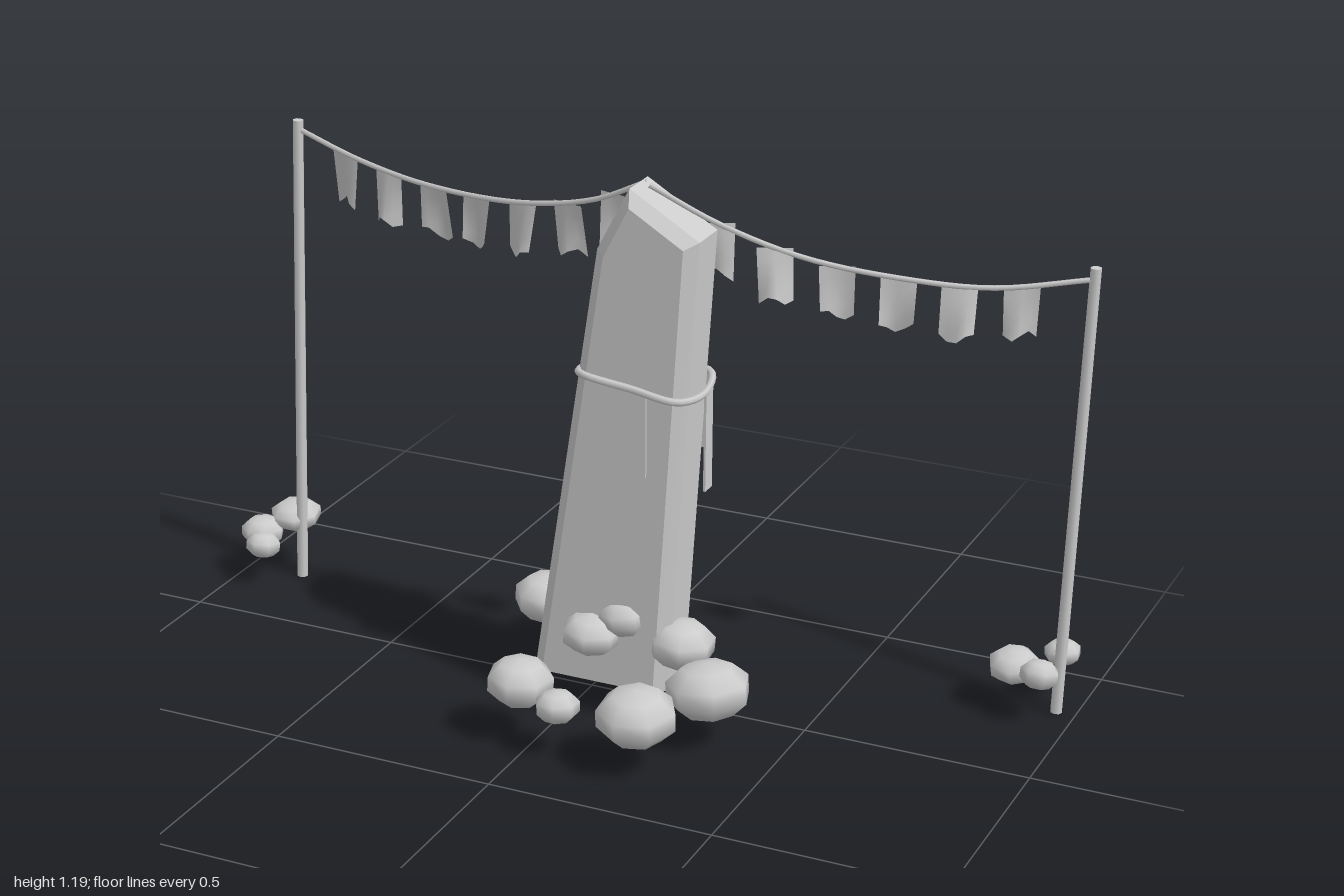
import * as THREE from 'three';

const V = (x, y, z) => new THREE.Vector3(x, y, z);
const grey = new THREE.MeshStandardMaterial({ color: 0xcccccc });
const flatGrey = new THREE.MeshStandardMaterial({ color: 0xcccccc, flatShading: true });
const cloth = new THREE.MeshStandardMaterial({ color: 0xcccccc, side: THREE.DoubleSide });

function add(parent, name, geometry, material = grey) {
  const mesh = new THREE.Mesh(geometry, material);
  mesh.name = name;
  parent.add(mesh);
  return mesh;
}

// Leaning slab with chamfered edges and a pointed top
function slabGeometry() {
  const b = 0.025;
  const outline = [[-0.06, 0.08], [0.2, 0.08], [0.26, 1.08], [0.14, 1.152], [0.083, 1.04]];
  const shape = new THREE.Shape(outline.map(([x, y]) => new THREE.Vector2(x, y)));
  const g = new THREE.ExtrudeGeometry(shape, {
    depth: 0.09, bevelEnabled: true, bevelSegments: 1, bevelSize: b, bevelThickness: b,
  });
  g.translate(0, 0, 0.01);
  // Flat underside
  const p = g.attributes.position;
  for (let i = 0; i < p.count; i++) if (p.getY(i) < 0.1) p.setY(i, 0.08);
  g.computeVertexNormals();
  return g;
}

// Straight pole between two points
function addPole(parent, name, from, to) {
  const pole = add(parent, name, new THREE.CylinderGeometry(0.012, 0.013, from.distanceTo(to), 8));
  pole.position.copy(from).add(to).multiplyScalar(0.5);
  pole.quaternion.setFromUnitVectors(V(0, 1, 0), to.clone().sub(from).normalize());
}

// Small curled flag with a ragged lower edge, hanging from its top centre
function flagGeometry(i) {
  const g = new THREE.PlaneGeometry(0.075, 0.11, 4, 4);
  g.translate(0, -0.055, 0);
  const p = g.attributes.position;
  for (let k = 0; k < p.count; k++) {
    const x = p.getX(k), t = -p.getY(k) / 0.11, u = x / 0.0375;
    const rag = t * (0.012 * Math.cos(u * 3 + i) + 0.006 * Math.sin(i * 2.3) * u);
    const curl = t * (0.014 * Math.sin(u * 2.2 + i * 1.7) + 0.012 * Math.sin(i * 2.1));
    p.setXYZ(k, x * (1 - 0.06 * t) + 0.005 * t * Math.sin(i * 1.3), p.getY(k) + rag, curl);
  }
  g.computeVertexNormals();
  return g;
}

// Sagging rope with flags at the given x positions
function addFlagLine(parent, name, points, flagXs) {
  const line = new THREE.Group();
  line.name = name;
  parent.add(line);
  const curve = new THREE.CatmullRomCurve3(points);
  add(line, 'rope', new THREE.TubeGeometry(curve, 28, 0.006, 5));
  const samples = curve.getPoints(300);
  flagXs.forEach((x, i) => {
    const at = samples.reduce((a, c) => (Math.abs(c.x - x) < Math.abs(a.x - x) ? c : a));
    const flag = add(line, 'flag', flagGeometry(i), cloth);
    flag.position.copy(at);
    const d = points[points.length - 1].clone().sub(points[0]);
    flag.rotation.y = Math.atan2(-d.z, d.x);
  });
}

export function createModel() {
  const model = new THREE.Group();
  model.name = 'standingStone';
  add(model, 'stoneSlab', slabGeometry(), flatGrey);

  // Poles
  addPole(model, 'rightPole', V(-0.86, 0, -0.23), V(-0.83, 1.115, -0.232));
  addPole(model, 'leftPole', V(0.957, 0, -0.31), V(0.986, 1.015, -0.31));

  // Flag lines run from the stone's peak to each pole
  const rightZ = (x) => 0.03 + (x - 0.14) * 0.272;
  const leftZ = (x) => 0.055 - (x - 0.16) * 0.442;
  addFlagLine(model, 'rightFlagLine',
    [[-0.835, 1.095], [-0.65, 1.06], [-0.45, 1.045], [-0.2, 1.062], [0, 1.112], [0.14, 1.182]]
      .map(([x, y]) => V(x, y, rightZ(x))),
    [-0.69, -0.565, -0.44, -0.315, -0.19, -0.07, 0.055]);
  addFlagLine(model, 'leftFlagLine',
    [[0.155, 1.185], [0.29, 1.1], [0.45, 1.03], [0.65, 0.985], [0.8, 0.97], [0.985, 0.99]]
      .map(([x, y]) => V(x, y, leftZ(x))),
    [0.28, 0.39, 0.505, 0.62, 0.735, 0.85]);

  // Rope tied around the slab
  const band = [
    [0.01, 0.77, 0.06], [0.04, 0.785, 0.137], [0.15, 0.772, 0.14], [0.255, 0.757, 0.135],
    [0.285, 0.757, 0.065], [0.262, 0.775, -0.018], [0.15, 0.758, -0.024], [0.035, 0.77, -0.02],
  ].map((p) => V(...p));
  add(model, 'bandRope',
    new THREE.TubeGeometry(new THREE.CatmullRomCurve3(band, true), 48, 0.008, 6, true));

  // Cloth strips hanging from the band: x, top y, z, length, turn
  [
    [0.17, 0.765, 0.138, 0.185, 0], [0.28, 0.765, 0.03, 0.235, Math.PI / 2],
    [0.12, 0.765, -0.025, 0.195, 0], [0.24, 0.77, -0.022, 0.17, 0],
  ].forEach(([x, y, z, length, turn]) => {
    const strip = add(model, 'clothStrip', new THREE.BoxGeometry(0.035, length, 0.005));
    strip.position.set(x, y - length / 2, z);
    strip.rotation.y = turn;
  });

  // Boulders: x, y, z, radius, half height
  const rock = new THREE.SphereGeometry(1, 7, 5);
  [
    // around the slab
    [-0.12, 0.13, -0.16, 0.085, 0.06], [-0.16, 0.135, -0.11, 0.078, 0.055],
    [0.105, 0.2, -0.04, 0.075, 0.052], [0.125, 0.235, 0.1, 0.06, 0.042],
    [0.06, 0.195, 0.125, 0.07, 0.045], [0.25, 0.19, 0.085, 0.075, 0.053],
    [0.34, 0.13, 0.15, 0.095, 0.062], [0.25, 0.125, 0.315, 0.09, 0.062],
    [-0.03, 0.135, 0.29, 0.075, 0.053], [0.075, 0.117, 0.33, 0.05, 0.036],
    // beside the right pole
    [-0.89, 0.14, -0.26, 0.062, 0.034], [-0.945, 0.11, -0.2, 0.052, 0.036],
    [-0.915, 0.1, -0.15, 0.042, 0.03],
    // beside the left pole
    [0.865, 0.105, -0.285, 0.058, 0.037], [0.945, 0.112, -0.375, 0.042, 0.028],
    [0.935, 0.114, -0.245, 0.044, 0.033],
  ].forEach(([x, y, z, r, h], i) => {
    const boulder = add(model, 'boulder', rock);
    boulder.position.set(x, y, z);
    boulder.scale.set(r, h, r);
    boulder.rotation.set(0.15 * Math.sin(i * 2), i * 1.1, 0.15 * Math.cos(i * 3));
  });

  return model;
}
